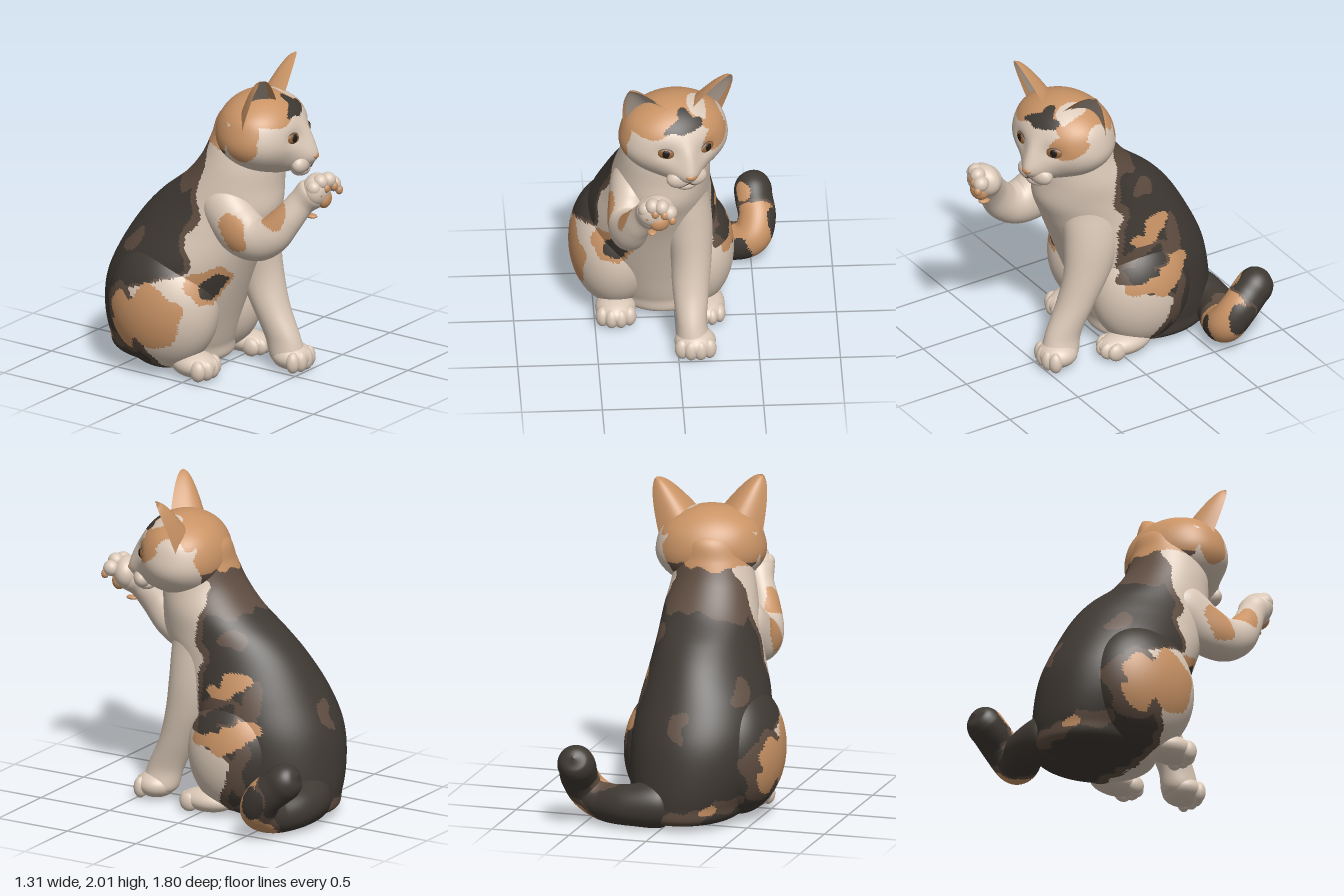
import * as THREE from 'three';
import { ParametricGeometry } from 'three/addons/geometries/ParametricGeometry.js';

const mat = (name, color) => Object.assign(new THREE.MeshStandardMaterial({ color }), { name });
const CREAM = 0, ORANGE = 1, DARK = 2, BROWN = 3;

export function createModel() {
  const fur = [mat('cream', 0xdac8b7), mat('orange', 0xc99365), mat('charcoal', 0x3f3933), mat('brown', 0x5f4d41)];
  const dusty = mat('dustyEar', 0xb5a698), amber = mat('amber', 0x94643a), black = mat('black', 0x1f1a17);

  const cat = new THREE.Group();
  cat.name = 'sittingCat';
  const V = (x, y, z) => new THREE.Vector3(x, y, z);

  function add(name, geometry, material, parent = cat) {
    const m = new THREE.Mesh(geometry, material);
    m.name = name;
    parent.add(m);
    return m;
  }

  // Sort the triangles of a geometry into colour groups by their centre
  function painted(name, geo, rule, parent = cat) {
    const p = geo.attributes.position, idx = geo.index.array, bins = fur.map(() => []);
    for (let i = 0; i < idx.length; i += 3) {
      const t = [idx[i], idx[i + 1], idx[i + 2]];
      const mid = f => (f(t[0]) + f(t[1]) + f(t[2])) / 3;
      bins[rule(mid(k => p.getX(k)), mid(k => p.getY(k)), mid(k => p.getZ(k)))].push(...t);
    }
    geo.setIndex(bins.flat());
    let start = 0;
    bins.forEach((b, i) => {
      if (b.length) geo.addGroup(start, b.length, i);
      start += b.length;
    });
    return add(name, geo, fur, parent);
  }

  // Patches: colour, centre, radii
  const inPatch = (list, x, y, z) => list.find(([, a, b, c, r, s, t]) =>
    ((x - a) / r) ** 2 + ((y - b) / s) ** 2 + ((z - c) / t) ** 2 < 1);
  const wobble = (x, y, z) => 0.016 * (Math.sin(19 * y + 7 * x) + Math.sin(27 * z + 13 * y + 2) + 0.6 * Math.sin(41 * x - 33 * y));

  const coatPatches = [
    [DARK, 0.33, 0.67, -0.19, 0.18, 0.055, 0.1], [DARK, 0.33, 0.61, -0.08, 0.18, 0.055, 0.09],
    [BROWN, 0.33, 0.68, -0.15, 0.18, 0.08, 0.18],
    [ORANGE, 0.33, 0.87, -0.25, 0.22, 0.085, 0.11], [ORANGE, 0.33, 0.78, -0.12, 0.2, 0.05, 0.12],
    [ORANGE, 0.36, 0.6, -0.34, 0.22, 0.09, 0.13], [ORANGE, 0.36, 0.5, -0.16, 0.22, 0.07, 0.2],
    [BROWN, 0.3, 0.8, -0.36, 0.15, 0.2, 0.09], [BROWN, 0.32, 0.36, -0.34, 0.2, 0.2, 0.05],
    [BROWN, 0.2, 1.12, -0.2, 0.12, 0.06, 0.1], [DARK, -0.37, 0.61, 0.12, 0.07, 0.08, 0.2],
    [ORANGE, -0.4, 0.61, 0.12, 0.13, 0.12, 0.25], [ORANGE, -0.64, 0.42, -0.1, 0.1, 0.24, 0.22],
    [ORANGE, -0.62, 0.36, -0.38, 0.12, 0.19, 0.12], [BROWN, -0.58, 0.36, -0.4, 0.14, 0.25, 0.18],
    [ORANGE, -0.3, 0.13, -0.68, 0.06, 0.04, 0.12], [BROWN, -0.42, 0.15, -0.58, 0.12, 0.07, 0.14],
    [BROWN, -0.15, 0.1, -0.74, 0.24, 0.06, 0.17],
    [BROWN, -0.12, 0.66, -0.7, 0.07, 0.1, 0.12], [BROWN, -0.42, 0.8, -0.4, 0.07, 0.13, 0.1],
    [ORANGE, -0.43, 1.02, 0.33, 0.07, 0.12, 0.09], [ORANGE, -0.34, 1.16, 0.58, 0.09, 0.12, 0.09],
  ];
  function coat(x, y, z) {
    const w = wobble(x, y, z), hit = inPatch(coatPatches, x + w, y + w, z - w);
    if (hit) return hit[0];
    if (y + w > 1.52 && z < 0.15) return ORANGE;
    const low = THREE.MathUtils.smoothstep((x < -0.2 ? 0.74 : 0.56) - y, 0, 0.2);
    const edge = z + w - (0.03 - (0.18 + 0.4 * Math.min(y, 0.5)) * low);
    if (edge > 0) return CREAM;
    return edge > -0.05 || y + 2 * w > 1.24 ? BROWN : DARK;
  }

  // Loft through rows of [x, y, z, radius, radius]; flat keeps every ring level
  function loft(rows, ref, rings, seg, flat = false) {
    const centre = new THREE.CatmullRomCurve3(rows.map(r => V(r[0], r[1], r[2])), false, 'catmullrom', 0.5);
    const radius = new THREE.CatmullRomCurve3(rows.map(r => V(r[3], r[4], 0)), false, 'catmullrom', 0.5);
    const pos = [], index = [];
    for (let i = 0; i <= rings; i++) {
      const c = centre.getPoint(i / rings), r = radius.getPoint(i / rings);
      const t = flat ? V(0, 1, 0) : centre.getTangent(i / rings);
      const side = ref.clone().addScaledVector(t, -t.dot(ref)).normalize();
      const other = t.clone().cross(side);
      for (let j = 0; j < seg; j++) {
        const a = j / seg * Math.PI * 2;
        const q = c.clone().addScaledVector(side, Math.max(r.x, 0.001) * Math.cos(a))
          .addScaledVector(other, Math.max(r.y, 0.001) * Math.sin(a));
        pos.push(q.x, q.y, q.z);
        if (i < rings) {
          const k = i * seg + j, n = i * seg + (j + 1) % seg;
          index.push(k, n, k + seg, n, n + seg, k + seg);
        }
      }
    }
    const g = new THREE.BufferGeometry();
    g.setAttribute('position', new THREE.Float32BufferAttribute(pos, 3));
    g.setIndex(index);
    g.computeVertexNormals();
    return g;
  }
  const blob = (x, y, z, rx, ry, rz, n = 20, yaw = 0) =>
    new THREE.SphereGeometry(1, n, Math.round(n * 0.75)).scale(rx, ry, rz).rotateY(yaw).translate(x, y, z);

  // Torso, from rump to nape
  painted('torso', loft([
    [-0.06, 0.01, -0.37, 0, 0], [-0.07, 0.03, -0.37, 0.3, 0.355], [-0.09, 0.15, -0.365, 0.36, 0.41],
    [-0.12, 0.35, -0.33, 0.41, 0.445], [-0.135, 0.55, -0.275, 0.425, 0.465], [-0.135, 0.75, -0.19, 0.4, 0.46],
    [-0.115, 0.95, -0.085, 0.345, 0.445], [-0.095, 1.1, 0.01, 0.31, 0.41], [-0.08, 1.25, 0.1, 0.29, 0.32],
    [-0.075, 1.4, 0.16, 0.26, 0.26], [-0.06, 1.54, 0.18, 0.23, 0.22], [-0.04, 1.68, 0.18, 0.18, 0.175],
    [-0.03, 1.78, 0.18, 0, 0],
  ], V(1, 0, 0), 150, 140, true), coat);

  // Haunches
  painted('leftHaunch', blob(0.115, 0.39, -0.2, 0.26, 0.38, 0.33, 96), coat);
  painted('rightHaunch', blob(-0.365, 0.435, -0.235, 0.285, 0.415, 0.37, 96), coat);

  // Standing front leg
  painted('leftFrontLeg', loft([
    [0.1, 0.03, 0.38, 0, 0], [0.1, 0.06, 0.38, 0.1, 0.11], [0.085, 0.2, 0.345, 0.095, 0.12],
    [0.085, 0.4, 0.25, 0.115, 0.125], [0.09, 0.6, 0.17, 0.13, 0.155], [0.07, 0.8, 0.12, 0.155, 0.19],
    [0.04, 1, 0.09, 0.16, 0.22], [0.01, 1.2, 0.1, 0.14, 0.2], [0, 1.3, 0.12, 0, 0],
  ], V(1, 0, 0), 60, 40, true), coat);

  // Paws on the ground, each with four toes
  function paw(name, x, z, rx, ry, rz) {
    const g = new THREE.Group();
    g.name = name;
    add('foot', blob(x, ry, z, rx, ry, rz, 32), fur[CREAM], g);
    [-0.66, -0.23, 0.23, 0.66].forEach(u => add('toe',
      blob(x + u * rx, ry * 0.82, z + rz * (0.72 - 0.42 * u * u), rx * 0.35, ry * 0.8, rz * 0.34), fur[CREAM], g));
    cat.add(g);
  }
  paw('leftFrontPaw', 0.105, 0.4, 0.128, 0.085, 0.125);
  paw('leftHindPaw', 0.2, -0.03, 0.108, 0.074, 0.18);
  paw('rightHindPaw', -0.37, 0, 0.125, 0.084, 0.155);

  // Raised front leg, paw, toes and pads
  painted('raisedArm', loft([
    [-0.24, 1.25, 0.06, 0, 0], [-0.26, 1.16, 0.12, 0.13, 0.15], [-0.3, 1.02, 0.28, 0.13, 0.165],
    [-0.31, 0.975, 0.42, 0.125, 0.145], [-0.3, 1.02, 0.54, 0.107, 0.12], [-0.265, 1.13, 0.63, 0.088, 0.1],
    [-0.21, 1.24, 0.7, 0.085, 0.088], [-0.17, 1.31, 0.76, 0.1, 0.095], [-0.15, 1.36, 0.81, 0, 0],
  ], V(1, 0, 0), 90, 48), coat);
  add('raisedPaw', blob(-0.155, 1.325, 0.775, 0.118, 0.105, 0.085, 32, 0.3), fur[CREAM]);
  [[-0.222, 1.355, 0.8], [-0.178, 1.39, 0.82], [-0.122, 1.393, 0.84], [-0.075, 1.357, 0.845]].forEach(([x, y, z]) => {
    add('raisedToe', blob(x, y, z, 0.047, 0.05, 0.05), fur[CREAM]);
    add('toePad', blob(x + 0.014, y - 0.038, z + 0.035, 0.025, 0.03, 0.024, 16), fur[ORANGE]);
  });
  add('palmPad', blob(-0.135, 1.27, 0.82, 0.066, 0.06, 0.045, 20, 0.3), fur[ORANGE]);
  add('wristPad', blob(-0.18, 1.155, 0.755, 0.03, 0.014, 0.04, 16), fur[ORANGE]);

  // Tail curling up beside the body
  const tailPatches = [
    [DARK, 0.42, 0.1, -0.5, 0.07, 0.12, 0.09], [DARK, 0.63, 0.27, -0.62, 0.07, 0.1, 0.09],
    [ORANGE, 0.43, 0.46, -0.68, 0.07, 0.08, 0.08], [BROWN, 0.4, 0.25, -0.66, 0.12, 0.05, 0.07],
  ];
  painted('tail', loft([
    [-0.08, 0.15, -0.6, 0, 0], [0, 0.15, -0.64, 0.145, 0.145], [0.2, 0.135, -0.685, 0.13, 0.13],
    [0.38, 0.125, -0.62, 0.12, 0.12], [0.5, 0.18, -0.59, 0.12, 0.12], [0.54, 0.28, -0.65, 0.117, 0.117],
    [0.525, 0.36, -0.74, 0.117, 0.117], [0.52, 0.41, -0.8, 0.114, 0.114], [0.515, 0.445, -0.85, 0.08, 0.08],
    [0.51, 0.46, -0.88, 0, 0],
  ], V(0, 0.7, 0.7), 100, 48), (x, y, z) => {
    const w = wobble(x, y, z), hit = inPatch(tailPatches, x + w, y + w, z);
    if (hit) return hit[0];
    const tip = Math.max(y - z - 1.05, -0.69 - z, 0.3 - x) + w;
    return tip > 0 ? DARK : tip > -0.03 ? BROWN : ORANGE;
  });

  // Head, turned to its left
  const head = new THREE.Group();
  head.name = 'head';
  head.position.set(-0.025, 1.575, 0.27);
  head.rotation.set(0, 0.29, -0.03);
  cat.add(head);

  // Skull: a ball with a pushed-out muzzle, sunken eye sockets, full cheeks and broad crown
  const skull = blob(0, 0, 0, 0.325, 0.265, 0.285, 120), sp = skull.attributes.position;
  const bump = (x, y, cx, cy, r, s) => Math.exp(-(((x - cx) / r) ** 2) - ((y - cy) / s) ** 2);
  for (let i = 0; i < sp.count; i++) {
    const x = sp.getX(i), y = sp.getY(i), z = sp.getZ(i), f = THREE.MathUtils.smoothstep(z, 0, 0.15);
    const push = 0.118 * bump(x, y, 0, -0.16, 0.1, 0.105) + 0.03 * bump(x, y, 0, -0.02, 0.05, 0.09)
      - 0.02 * bump(Math.abs(x), y, 0.13, 0.01, 0.06, 0.05);
    const widen = 0.07 * bump(y, 0, -0.06, 0, 0.13, 1) + 0.07 * bump(y, 0, 0.16, 0, 0.09, 1);
    sp.setXYZ(i, x * (1 + widen), y, z + f * push);
  }
  skull.computeVertexNormals();
  const headPatches = [
    [DARK, 0, 0.2, 0.19, 0.05, 0.045, 0.12], [DARK, -0.05, 0.16, 0.22, 0.07, 0.03, 0.1],
    [DARK, 0.05, 0.16, 0.22, 0.05, 0.035, 0.1], [CREAM, 0.11, 0.22, 0.09, 0.06, 0.1, 0.11],
    [ORANGE, 0.22, 0.07, 0.2, 0.11, 0.065, 0.12], [CREAM, 0.33, 0.06, 0.02, 0.13, 0.11, 0.11],
    [ORANGE, -0.34, 0.02, -0.03, 0.08, 0.17, 0.12],
  ];
  painted('skull', skull, (x, y, z) => {
    const w = wobble(x, y, z), hit = inPatch(headPatches, x + w, y + w, z);
    if (hit) return hit[0];
    if (z + w < -0.15 && y < -0.07 + w) return BROWN;
    return y + 0.2 * Math.abs(x) + w > 0.16 || (z + w < -0.15 && y > -0.14) ? ORANGE : CREAM;
  }, head);

  // Muzzle, nose and mouth
  for (const s of [-1, 1]) {
    add('whiskerPad', blob(s * 0.046, -0.174, 0.264, 0.085, 0.064, 0.056, 28), fur[CREAM], head);
    const lip = new THREE.CatmullRomCurve3([V(0, -0.165, 0.342), V(s * 0.012, -0.195, 0.317), V(s * 0.045, -0.213, 0.308), V(s * 0.08, -0.208, 0.295)]);
    add('mouthLine', new THREE.TubeGeometry(lip, 12, 0.003, 6), fur[BROWN], head);
  }
  add('chin', blob(0, -0.222, 0.25, 0.075, 0.042, 0.06), fur[CREAM], head);
  add('nose', blob(0, -0.125, 0.347, 0.036, 0.022, 0.022), fur[ORANGE], head);

  for (const s of [-1, 1]) {
    // Eye: dark rim, amber iris, black pupil
    const eye = new THREE.Group();
    eye.name = s > 0 ? 'leftEye' : 'rightEye';
    eye.position.set(s * 0.132, 0.01, 0.24);
    eye.rotation.set(0, s * 0.4, s * 0.12);
    add('eyeRim', blob(0, 0, 0, 0.064, 0.044, 0.016), fur[BROWN], eye);
    add('iris', blob(0, 0, 0.006, 0.053, 0.034, 0.018), amber, eye);
    add('pupil', blob(0, 0.004, 0.017, 0.026, 0.027, 0.01), black, eye);
    head.add(eye);

    // Ear: a bowed shell with a lining set inside its rim, opening forward and outward
    const ear = new THREE.Group();
    ear.name = s > 0 ? 'leftEar' : 'rightEar';
    head.add(ear);
    const base = V(s * 0.2, 0.14, 0.04), rise = V(s * 0.335, 0.415, 0.1).sub(base);
    const across = V(s * 0.12, -0.1, -0.08).normalize(), back = V(-s * 0.36, 0.3, -0.9).normalize();
    const sheet = (facing, span, inset) => new ParametricGeometry((a, b, out) => {
      const u = (a * 2 - 1) * span * facing * s, v = (b * 1.25 - 0.25) * (1 - inset * 5), taper = Math.max(1 - v, 0.004);
      out.copy(base).addScaledVector(rise, v).addScaledVector(across, u * 0.175 * Math.pow(taper / 1.1, 0.55))
        .addScaledVector(back, 0.12 * (1 - u * u) * Math.sqrt(taper) - inset);
    }, 24, 24);
    add('earBack', sheet(-1, 1, 0), fur[ORANGE], ear);
    add('earRim', sheet(1, 1, 0), fur[ORANGE], ear);
    add('earLining', sheet(1, 0.8, 0.012), dusty, ear);
  }
  return cat;
}
